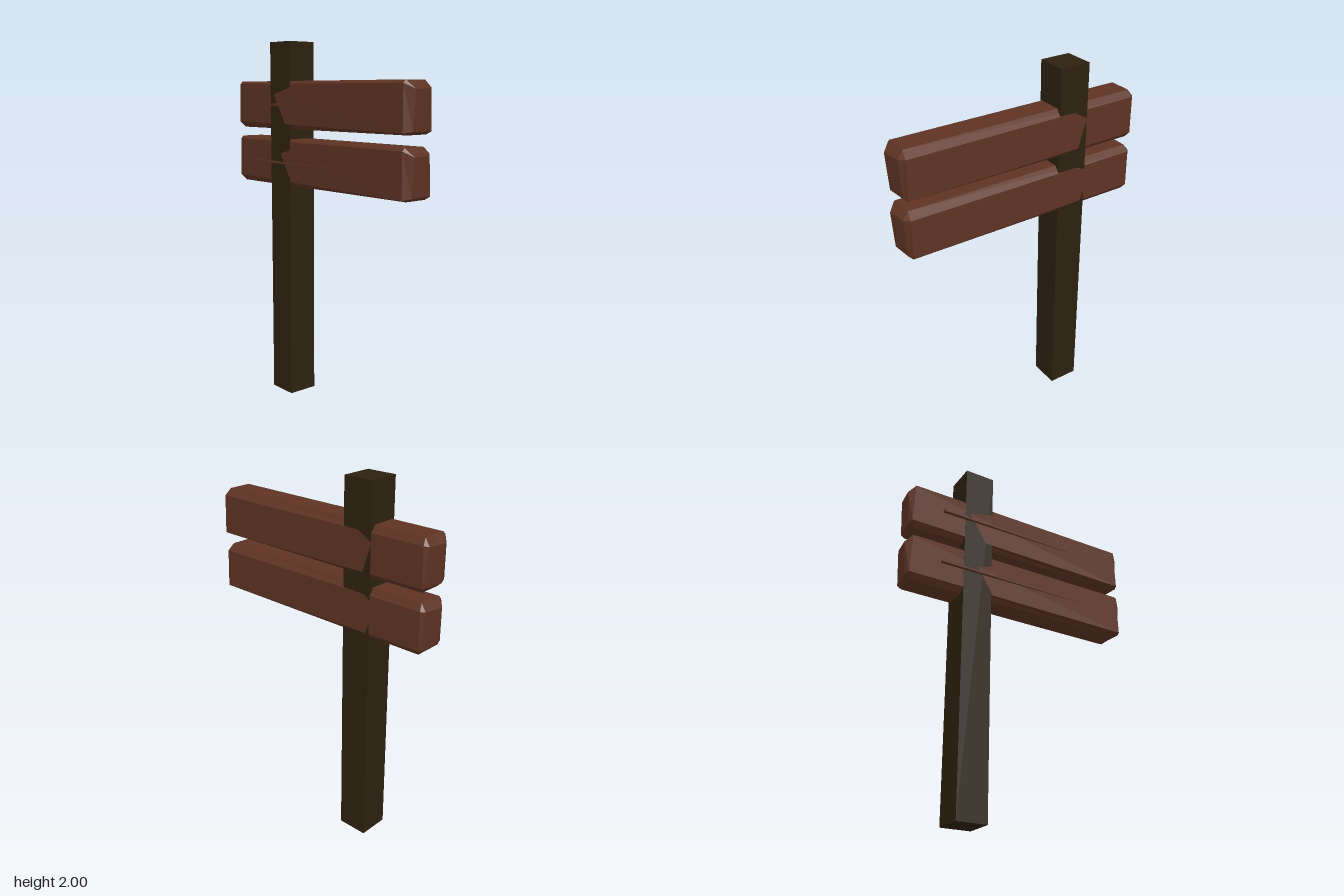
import * as THREE from 'three';

const plankWood = new THREE.MeshStandardMaterial({ color: 0x5e3323 });
plankWood.name = 'plankWood';
const postWood = new THREE.MeshStandardMaterial({ color: 0x2d2110 });
postWood.name = 'postWood';

// Flat-faced hull from rings of equal length, running from -x to +x
function loft(rings, flipped) {
  const pos = [];
  const tri = (a, b, c) => {
    const ab = new THREE.Vector3(...b).sub(new THREE.Vector3(...a));
    const ac = new THREE.Vector3(...c).sub(new THREE.Vector3(...a));
    if (ab.cross(ac).length() > 1e-9) pos.push(...a, ...b, ...c);
  };
  const n = rings[0].length;
  for (let r = 0; r < rings.length - 1; r++) {
    const L = rings[r], R = rings[r + 1];
    for (let i = 0; i < n; i++) {
      const j = (i + 1) % n;
      if (i === flipped) {
        tri(L[i], L[j], R[i]);
        tri(L[j], R[j], R[i]);
      } else {
        tri(L[i], L[j], R[j]);
        tri(L[i], R[j], R[i]);
      }
    }
  }
  const first = rings[0], last = rings[rings.length - 1];
  for (let i = 1; i < n - 1; i++) {
    tri(first[0], first[i + 1], first[i]);
    tri(last[0], last[i], last[i + 1]);
  }
  const geo = new THREE.BufferGeometry();
  geo.setAttribute('position', new THREE.Float32BufferAttribute(pos, 3));
  geo.computeVertexNormals();
  return geo;
}

// Bevelled, slightly warped plank; y is measured from its underside
function plankGeometry() {
  // ring order: top front, front top, front bottom, bottom front,
  // bottom back, back bottom, back top, top back
  const left = [
    [-0.665, 0.263, 0.06], [-0.67, 0.248, 0.0707], [-0.68, 0.033, 0.0696], [-0.66, 0, 0.045],
    [-0.66, 0, -0.075], [-0.675, 0.025, -0.093], [-0.67, 0.228, -0.094], [-0.66, 0.263, -0.07],
  ];
  const right = [
    [0.66, 0.265, 0.06], [0.66, 0.25, 0.0763], [0.665, 0.018, 0.08], [0.66, 0.008, 0.045],
    [0.66, 0.008, -0.085], [0.67, 0.022, -0.112], [0.665, 0.23, -0.108], [0.66, 0.265, -0.07],
  ];
  // four-cornered end caps, each corner doubled to match the ring
  const cap = (s) => {
    const c = [[0.703 * s, 0.222, 0.035], [0.69 * s, 0.025, 0.037],
      [0.68 * s, 0.025, -0.078], [0.69 * s, 0.225, -0.075]];
    return c.flatMap((p) => [p, p]);
  };
  return loft([cap(-1), left, right, cap(1)], 5);
}

export function createModel() {
  const model = new THREE.Group();
  model.name = 'signpost';
  const add = (name, geo, mat, x, y, z) => {
    const mesh = new THREE.Mesh(geo, mat);
    mesh.name = name;
    mesh.position.set(x, y, z);
    model.add(mesh);
    return mesh;
  };

  // Square post
  add('post', new THREE.BoxGeometry(0.17, 2, 0.171), postWood, -0.284, 1, -0.0125);

  // Two planks
  const plank = plankGeometry();
  add('upperPlank', plank, plankWood, 0, 1.525, 0);
  add('lowerPlank', plank, plankWood, 0, 1.21, -0.0004);

  // Long tapering splinters in front of the planks
  const splinter = new THREE.CylinderGeometry(0, 0.0145, 0.92, 4).toNonIndexed();
  splinter.rotateY(Math.PI / 4).rotateZ(-Math.PI / 2).scale(1, 0.7, 1);
  splinter.computeVertexNormals();
  add('upperSplinter', splinter, plankWood, -0.05, 1.66, 0.096);
  add('lowerSplinter', splinter, plankWood, -0.05, 1.342, 0.096);

  return model;
}
